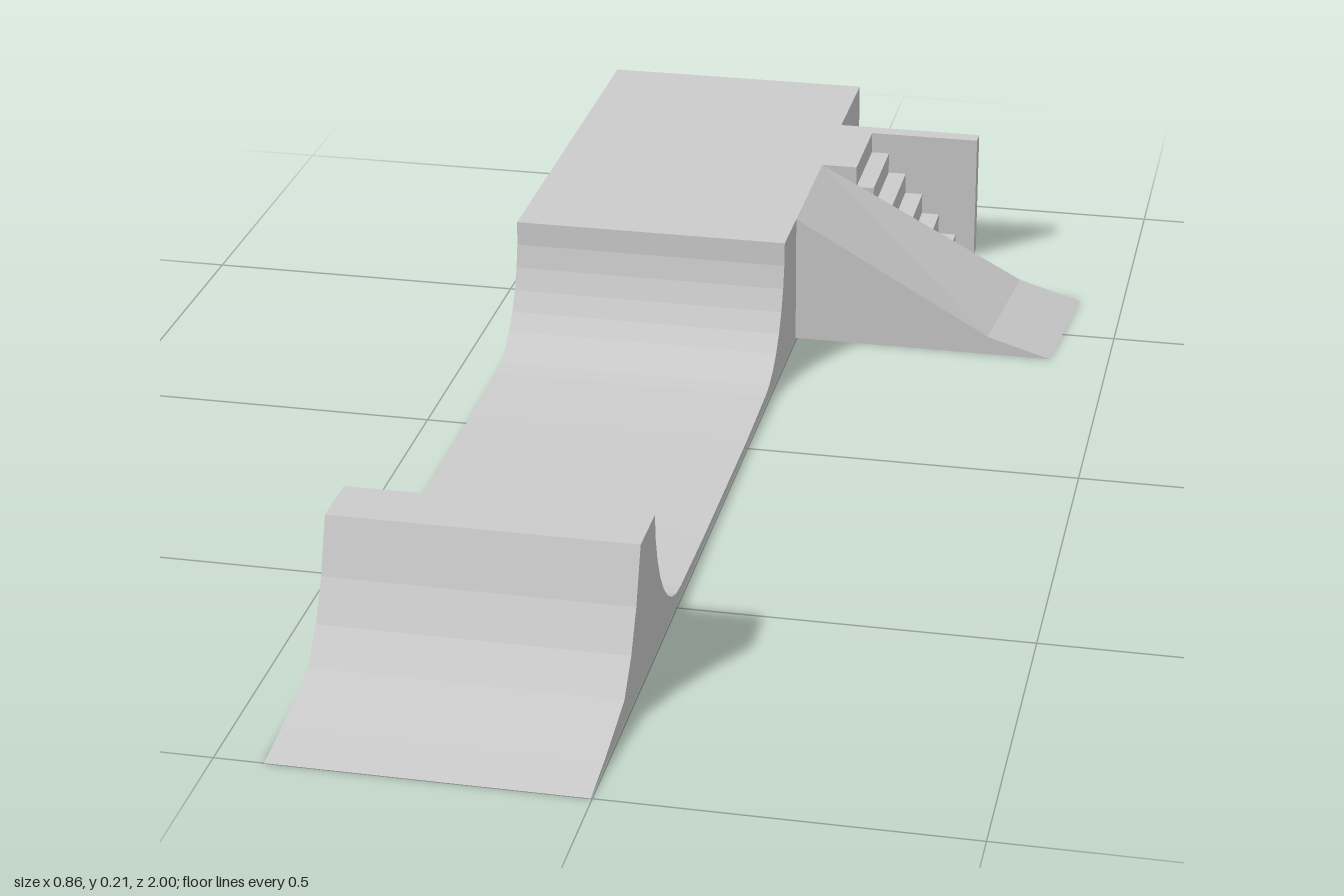
import * as THREE from 'three';

const H = 0.207; // deck height

export function createModel() {
  const group = new THREE.Group();
  const material = new THREE.MeshStandardMaterial({ color: 0xcccccc, flatShading: true });
  const add = (name, geometry) => {
    const mesh = new THREE.Mesh(geometry, material);
    mesh.name = name;
    group.add(mesh);
    return mesh;
  };
  const extrude = (points, depth) => new THREE.ExtrudeGeometry(
    new THREE.Shape(points.map(([x, y]) => new THREE.Vector2(x, y))),
    { depth, bevelEnabled: false });

  // Curved wall of the half pipe, from its lip (i = 0) down to the floor
  const wall = (lipZ, dir) => Array.from({ length: 9 }, (_, i) => {
    const a = (i / 8) * Math.PI / 2;
    return [lipZ + dir * 0.155 * (1 - Math.cos(a)), H - 0.191 * Math.sin(a)];
  });

  // Half pipe, deck and outer quarter ramp: one side profile (z, y) swept across x
  const profile = [
    [1, 0], [0.93, 0.009], [0.87, 0.02], [0.81, 0.033], [0.768, 0.075],
    [0.735, 0.13], [0.705, H],
    ...wall(0.62, -1), [0.3, 0.012], [0, 0.011],
    ...wall(-0.305, 1).reverse(),
    [-1, H], [-1, 0],
  ];
  const pipe = extrude(profile.map(([z, y]) => [-z, y]), 0.43);
  pipe.rotateY(Math.PI / 2).translate(-0.432, 0, 0);
  add('halfPipeAndDeck', pipe);

  // Side bank with a shallow toe, slightly longer along its back edge
  const bank = extrude([[-0.002, 0], [0.408, 0], [0.308, 0.03], [-0.002, H]], 0.232);
  const pos = bank.attributes.position;
  for (let i = 0; i < pos.count; i++) {
    if (pos.getZ(i) < 0.1 && pos.getX(i) > 0.1) pos.setX(i, pos.getX(i) + 0.022);
  }
  bank.translate(0, 0, -0.635).computeVertexNormals();
  add('sideBank', bank);

  // Six steps beside the bank
  const steps = [[-0.002, 0]];
  for (let i = 5; i >= 0; i--) {
    const x = 0.055 + 0.029 * i;
    steps.push([x, H * (5 - i) / 6], [x, H * (6 - i) / 6]);
  }
  steps.push([-0.002, H]);
  add('stairs', extrude(steps, 0.156).translate(0, 0, -0.791));

  // Low wall behind the stairs
  add('stairWall', new THREE.BoxGeometry(0.234, H, 0.026)).position.set(0.115, H / 2, -0.803);

  return group;
}
